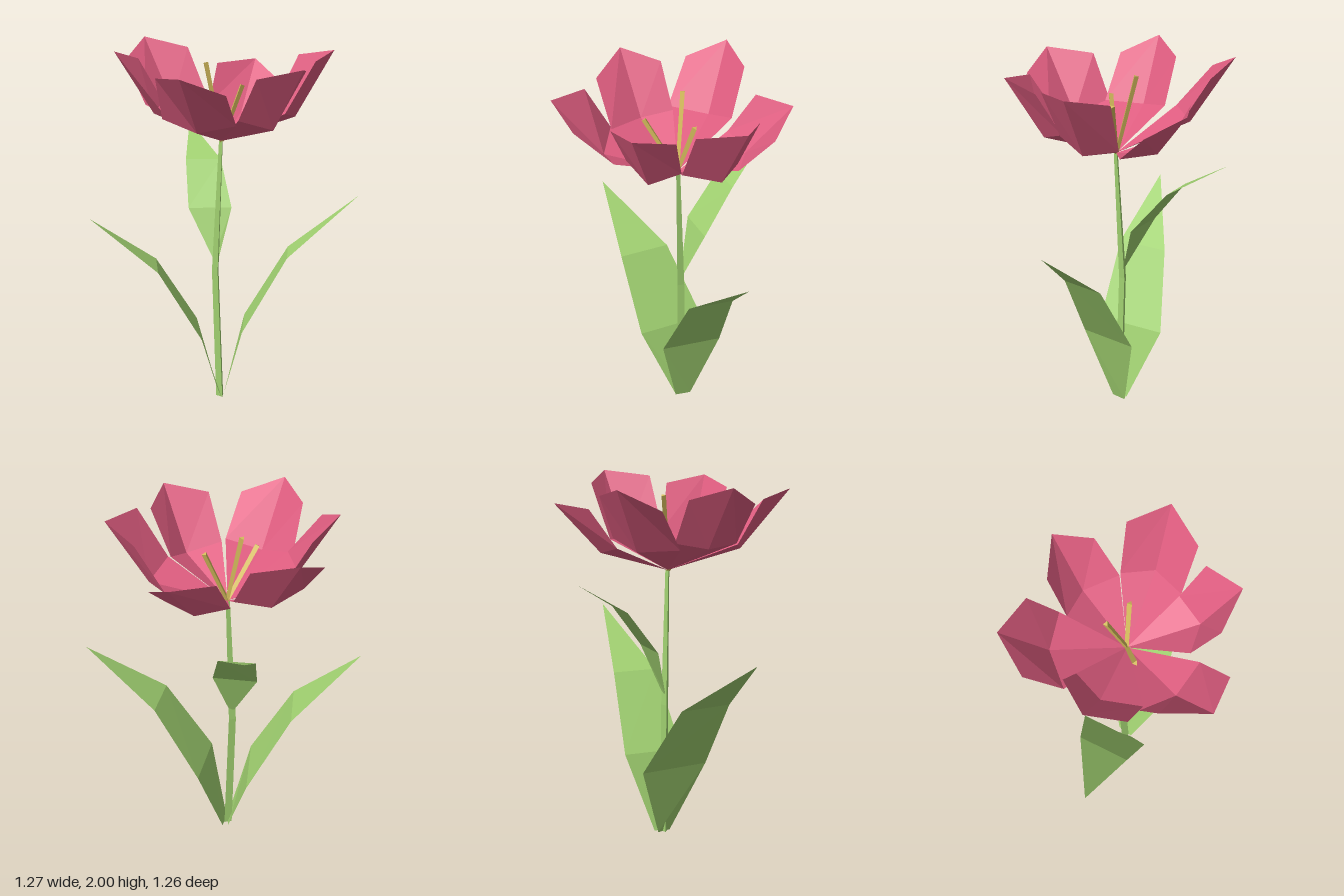
import * as THREE from 'three';

const material = (name, color, side = THREE.FrontSide) => {
  const m = new THREE.MeshStandardMaterial({ color, side, flatShading: true });
  m.name = name;
  return m;
};

// Joins successive rows of points into a faceted sheet; a row of one point is a tip.
function sheet(rows) {
  const out = [];
  const tri = (a, b, c) => out.push(...a, ...b, ...c);
  for (let r = 0; r < rows.length - 1; r++) {
    const a = rows[r], b = rows[r + 1];
    const at = (row, i) => row[Math.min(i, row.length - 1)];
    const n = Math.max(a.length, b.length);
    for (let i = 0; i < n - 1; i++) {
      if (b.length > 1) tri(at(a, i), at(b, i + 1), at(b, i));
      if (a.length > 1) tri(at(a, i), at(a, i + 1), at(b, i + 1));
    }
  }
  const g = new THREE.BufferGeometry();
  g.setAttribute('position', new THREE.Float32BufferAttribute(out, 3));
  g.computeVertexNormals();
  return g;
}

export function createModel() {
  const flower = new THREE.Group();
  flower.name = 'flower';
  const petalPink = material('petal pink', 0xdf5d80, THREE.DoubleSide);
  const leafGreen = material('leaf green', 0xa0d070, THREE.DoubleSide);
  const stamenYellow = material('stamen yellow', 0xd4bb5c);

  const add = (name, geometry, mat) => {
    const mesh = new THREE.Mesh(geometry, mat);
    mesh.name = name;
    flower.add(mesh);
    return mesh;
  };

  const heart = [-0.045, 1.49, -0.03];

  // Petals: middle row of three points, then upper row with the tip in its centre
  const petals = {
    backPetal: [
      [[-0.23, 1.64, -0.3], [-0.07, 1.59, -0.39], [0.135, 1.59, -0.35]],
      [[-0.24, 1.85, -0.445], [-0.08, 1.86, -0.635], [0.11, 1.75, -0.535]]],
    backLeftPetal: [
      [[0.135, 1.63, -0.342], [0.3, 1.61, -0.257], [0.315, 1.66, -0.053]],
      [[0.25, 1.925, -0.445], [0.48, 1.97, -0.377], [0.46, 1.94, -0.12]]],
    frontLeftPetal: [
      [[0.3, 1.66, -0.05], [0.313, 1.6, 0.12], [0.16, 1.66, 0.237]],
      [[0.44, 1.9, -0.025], [0.503, 1.94, 0.193], [0.288, 1.895, 0.308]]],
    frontPetal: [
      [[0.175, 1.645, 0.3], [-0.02, 1.603, 0.363], [-0.23, 1.66, 0.335]],
      [[0.2, 1.836, 0.503], [0, 1.925, 0.63], [-0.207, 1.895, 0.468]]],
    frontRightPetal: [
      [[-0.2, 1.66, 0.33], [-0.353, 1.655, 0.175], [-0.377, 1.69, 0]],
      [[-0.353, 1.89, 0.414], [-0.527, 1.995, 0.29], [-0.492, 1.93, 0.067]]],
    backRightPetal: [
      [[-0.472, 1.67, 0.026], [-0.41, 1.65, -0.196], [-0.26, 1.7, -0.32]],
      [[-0.639, 1.895, -0.07], [-0.625, 2, -0.295], [-0.397, 1.94, -0.387]]],
  };
  for (const [name, rows] of Object.entries(petals)) {
    add(name, sheet([[heart], ...rows]), petalPink);
  }

  // Leaves: pairs of edge points from the foot up to a pointed tip
  const leaves = {
    rightLeaf: [
      [[-0.085, 0, -0.085], [-0.04, 0, -0.02]],
      [[-0.257, 0.405, -0.17], [-0.077, 0.405, 0.178]],
      [[-0.416, 0.8, 0.035], [-0.283, 0.8, 0.295]],
      [[-0.635, 1.1, 0.413]]],
    leftLeaf: [
      [[-0.06, 0, -0.105], [-0.035, 0, -0.02]],
      [[0, 0.43, -0.268], [0.11, 0.43, 0.05]],
      [[0.24, 0.845, -0.33], [0.32, 0.845, -0.093]],
      [[0.632, 1.163, -0.398]]],
    upperLeaf: [
      [[-0.1, 0.81, -0.045], [-0.075, 0.81, -0.06]],
      [[-0.267, 1.08, -0.085], [-0.045, 1.08, -0.18]],
      [[-0.352, 1.32, -0.246], [-0.172, 1.32, -0.33]],
      [[-0.442, 1.49, -0.508]]],
  };
  for (const [name, rows] of Object.entries(leaves)) {
    add(name, sheet(rows), leafGreen);
  }

  // Stem: a three-sided rod bent and tapered at three levels
  const levels = [[-0.06, -0.05, 0.025], [-0.084, -0.045, 0.023], [-0.045, -0.03, 0.013]];
  const stem = new THREE.CylinderGeometry(1, 1, 1.49, 3, 2, false, Math.PI / 4);
  const p = stem.attributes.position;
  for (let i = 0; i < p.count; i++) {
    const [x, z, r] = levels[Math.round((p.getY(i) / 1.49 + 0.5) * 2)];
    p.setXYZ(i, x + p.getX(i) * r, p.getY(i) + 0.745, z + p.getZ(i) * r);
  }
  stem.computeVertexNormals();
  add('stem', stem, leafGreen);

  // Stamens: three rods leaning out of the flower's heart
  const base = new THREE.Vector3(...heart);
  const up = new THREE.Vector3(0, 1, 0);
  [[-0.12, 1.76, 0.15], [-0.15, 1.91, -0.057], [0.04, 1.79, -0.12]].forEach((end, i) => {
    const tip = new THREE.Vector3(...end);
    const along = tip.clone().sub(base);
    const rod = new THREE.CylinderGeometry(0.016, 0.013, along.length(), 3);
    const mesh = add('stamen' + (i + 1), rod, stamenYellow);
    mesh.position.copy(base).lerp(tip, 0.5);
    mesh.quaternion.setFromUnitVectors(up, along.normalize());
  });

  return flower;
}
